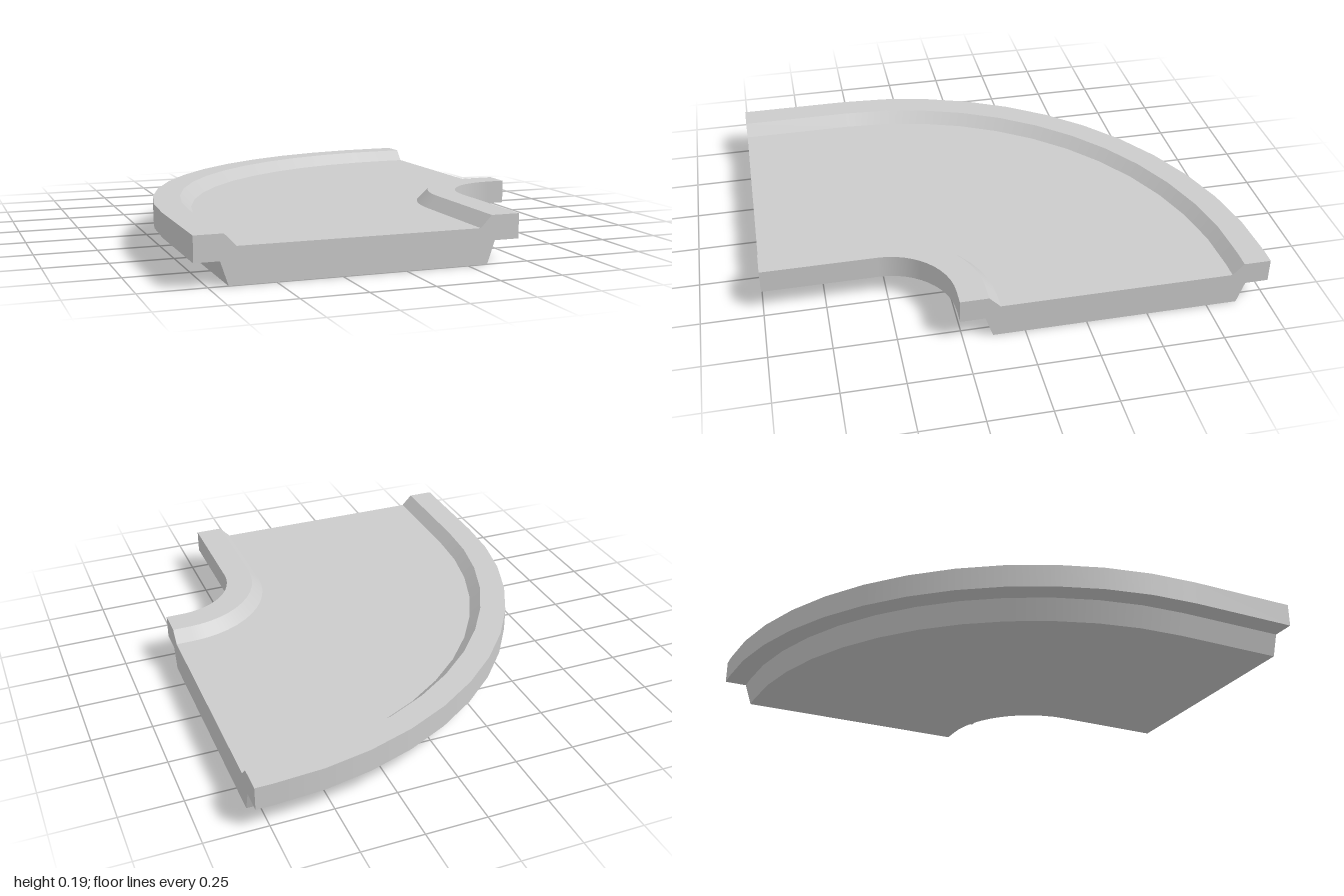
import * as THREE from 'three';
import { mergeGeometries } from 'three/addons/utils/BufferGeometryUtils.js';

// Centre of the bend, and where the two straight ends stop
const CX = 0.73, CZ = 0.53, END_X = 0.8, END_Z = 1;
const SEGMENTS = 12;

// Cross-section as [distance from bend centre, height], counter-clockwise
const PROFILE = [
  [0.4, 0], [1.405, 0], [1.435, 0.09], [1.53, 0.09], [1.53, 0.187], [1.42, 0.187],
  [1.375, 0.14], [0.43, 0.14], [0.385, 0.187], [0.27, 0.187], [0.27, 0.09], [0.37, 0.09],
];

// Stations along the bend: a short straight, a quarter turn, a short straight
function stations() {
  const list = [{ a: 0, x: CX, z: END_Z }];
  for (let i = 0; i <= SEGMENTS; i++) list.push({ a: (i / SEGMENTS) * Math.PI / 2, x: CX, z: CZ });
  list.push({ a: Math.PI / 2, x: END_X, z: CZ });
  return list;
}

// One profile edge swept along the bend, smooth lengthwise and sharp across
function sweepEdge(p, q, path) {
  const position = [], normal = [], uv = [], index = [];
  const n = new THREE.Vector2(q[1] - p[1], p[0] - q[0]).normalize();
  path.forEach(({ a, x, z }, i) => {
    const c = Math.cos(a), s = Math.sin(a);
    [p, q].forEach(([r, y], j) => {
      position.push(x - r * c, y, z - r * s);
      normal.push(-n.x * c, n.y, -n.x * s);
      uv.push(i / (path.length - 1), j);
    });
    if (i > 0) {
      const k = 2 * (i - 1);
      index.push(k, k + 1, k + 3, k, k + 3, k + 2);
    }
  });
  const g = new THREE.BufferGeometry();
  g.setAttribute('position', new THREE.Float32BufferAttribute(position, 3));
  g.setAttribute('normal', new THREE.Float32BufferAttribute(normal, 3));
  g.setAttribute('uv', new THREE.Float32BufferAttribute(uv, 2));
  g.setIndex(index);
  return g;
}

// Flat end face in the shape of the profile
function endFace(sign) {
  return new THREE.ShapeGeometry(new THREE.Shape(PROFILE.map(([r, y]) => new THREE.Vector2(sign * r, y))));
}

export function createModel() {
  const group = new THREE.Group();
  group.name = 'curvedChannel';
  const path = stations();
  const parts = PROFILE.map((p, i) => sweepEdge(p, PROFILE[(i + 1) % PROFILE.length], path));
  parts.push(endFace(-1).translate(CX, 0, END_Z));
  parts.push(endFace(1).rotateY(Math.PI / 2).translate(END_X, 0, CZ));

  const bend = new THREE.Mesh(mergeGeometries(parts), new THREE.MeshStandardMaterial({ color: 0xcccccc }));
  bend.name = 'channelBend';
  group.add(bend);
  return group;
}
